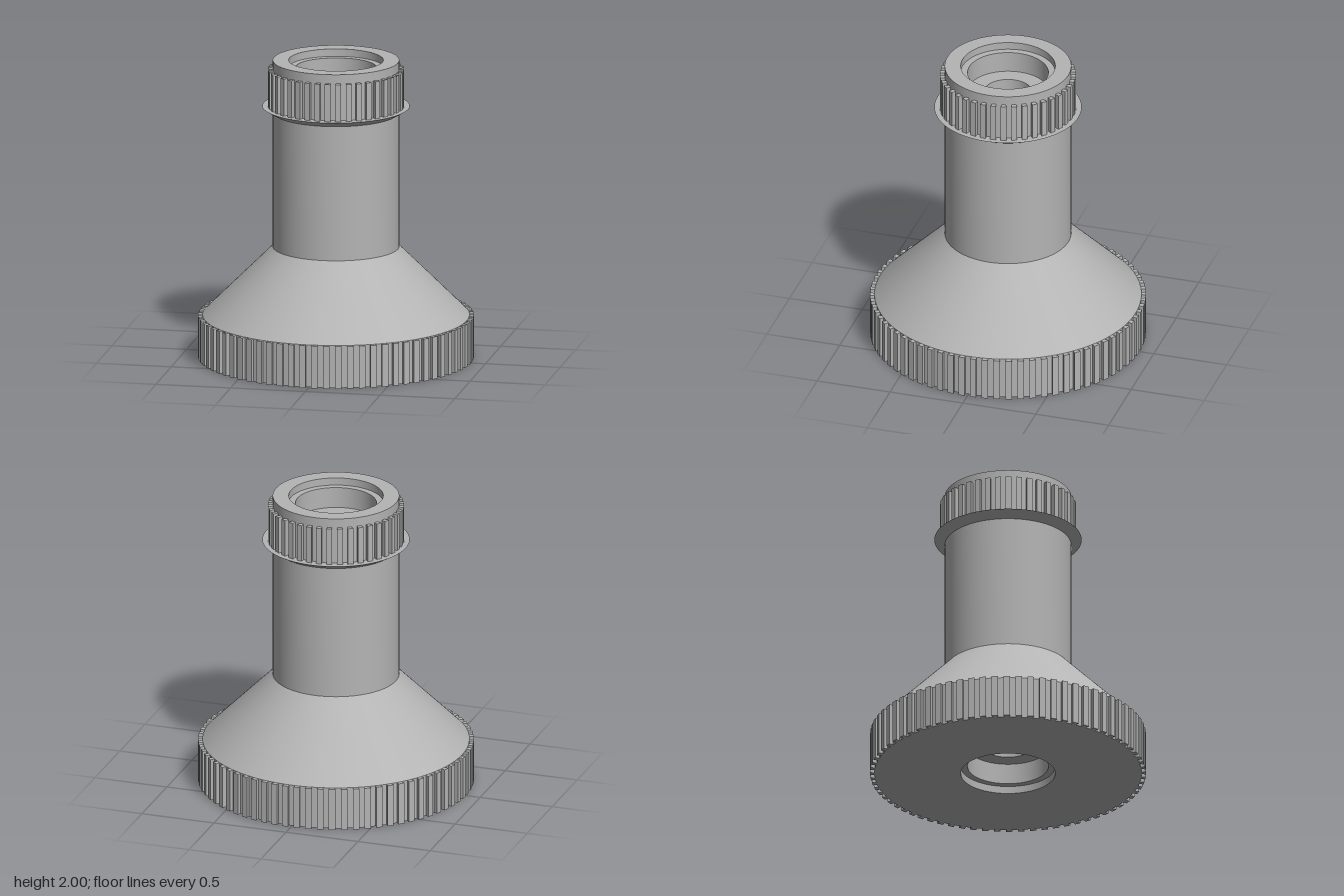
import * as THREE from 'three';
import { mergeGeometries, toCreasedNormals } from 'three/addons/utils/BufferGeometryUtils.js';

const grey = new THREE.MeshStandardMaterial({ color: 0xb4b4b4 });
grey.name = 'grey';

// Ring of upright grip ridges, slightly wider at the tip than at the root
function ridgeRing(name, count, rootRadius, tipRadius, rootWidth, tipWidth, y0, y1) {
  const shape = new THREE.Shape([
    new THREE.Vector2(rootRadius - 0.004, -rootWidth / 2),
    new THREE.Vector2(tipRadius, -tipWidth / 2),
    new THREE.Vector2(tipRadius, tipWidth / 2),
    new THREE.Vector2(rootRadius - 0.004, rootWidth / 2),
  ]);
  const ridge = new THREE.ExtrudeGeometry(shape, { depth: y1 - y0, bevelEnabled: false });
  ridge.rotateX(-Math.PI / 2).translate(0, y0, 0);
  const ridges = [];
  for (let i = 0; i < count; i++) {
    ridges.push(ridge.clone().rotateY(((i + 0.5) / count) * Math.PI * 2));
  }
  const mesh = new THREE.Mesh(mergeGeometries(ridges), grey);
  mesh.name = name;
  return mesh;
}

export function createModel() {
  const group = new THREE.Group();
  group.name = 'knurledAdapter';

  // Turned body: closed profile with a stepped seat at each end of the bore
  const profile = [
    [0.31, 0], [0.875, 0], [0.875, 0.285], [0.415, 0.745],    // base and cone
    [0.415, 1.65], [0.483, 1.69], [0.415, 1.69],              // neck and flared flange
    [0.415, 2], [0.31, 2],                                    // top collar
    [0.31, 1.95], [0.265, 1.95], [0.265, 1.81], [0.155, 1.81], // upper seat
    [0.155, 0.19], [0.265, 0.19], [0.265, 0.05], [0.31, 0.05], // lower seat
    [0.31, 0],
  ].map(([r, y]) => new THREE.Vector2(r, y));
  const lathe = new THREE.LatheGeometry(profile, 144);
  const body = new THREE.Mesh(toCreasedNormals(lathe, 0.5), grey);
  body.name = 'body';

  group.add(
    body,
    ridgeRing('baseRidges', 72, 0.875, 0.904, 0.03, 0.043, 0, 0.285),
    ridgeRing('collarRidges', 40, 0.415, 0.447, 0.026, 0.038, 1.69, 1.94),
  );
  return group;
}
